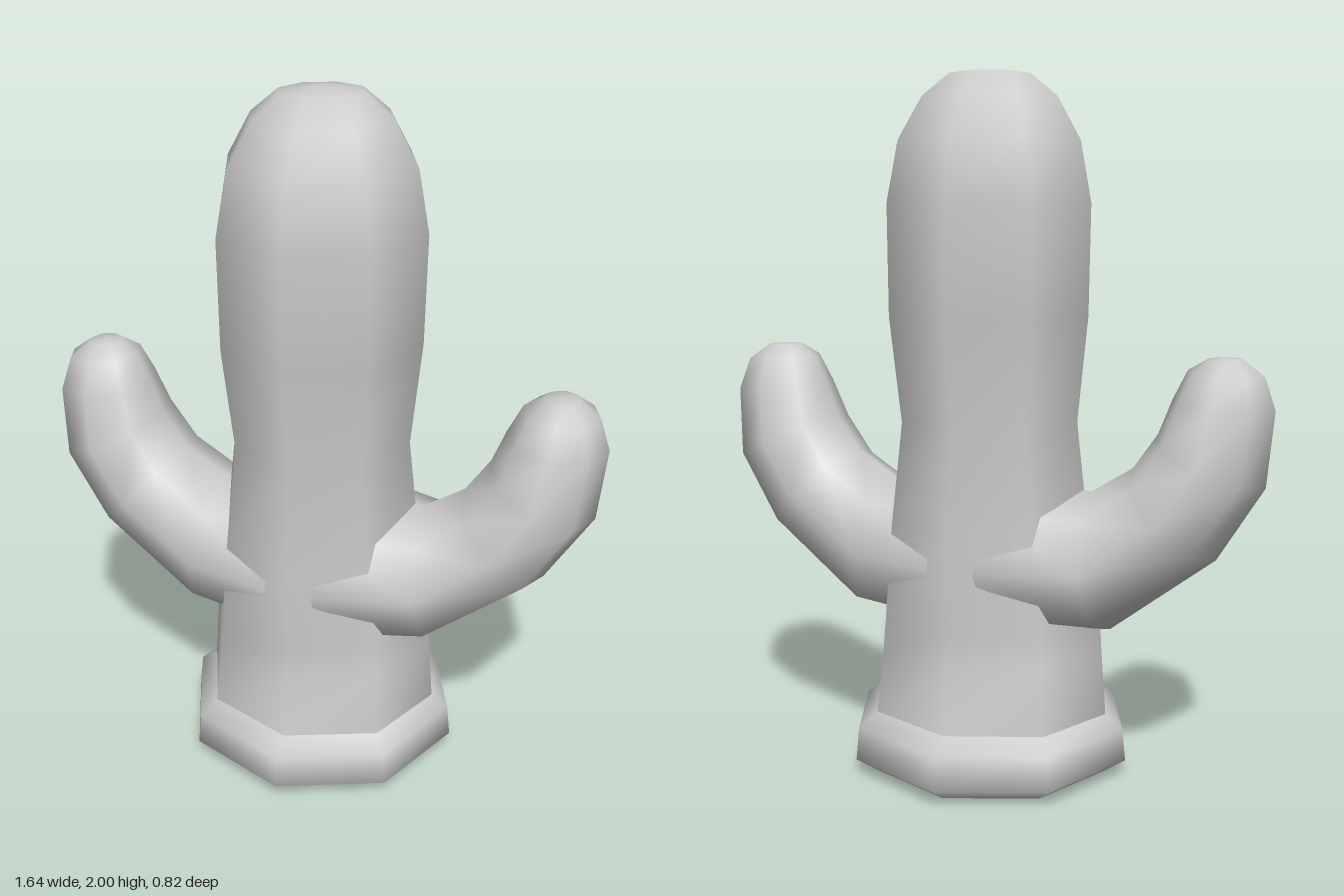
import * as THREE from 'three';

const SIDES = 8;
const material = new THREE.MeshStandardMaterial({ color: 0xcccccc });

// Smooth skin over octagonal rings: [cx, cy, ux, uy, w], u = in-plane half axis, w = half depth in z.
function loft(name, rings) {
  const positions = [], index = [];
  for (const [cx, cy, ux, uy, w] of rings) {
    for (let j = 0; j < SIDES; j++) {
      const a = (j / SIDES) * Math.PI * 2;
      positions.push(cx + ux * Math.cos(a), cy + uy * Math.cos(a), w * Math.sin(a));
    }
  }
  for (let i = 0; i < rings.length - 1; i++) {
    for (let j = 0; j < SIDES; j++) {
      const k = (j + 1) % SIDES;
      const a = i * SIDES + j, b = i * SIDES + k, c = a + SIDES, d = b + SIDES;
      index.push(a, c, b, b, c, d);
    }
  }
  // Close the far end with a single pole vertex
  const last = rings[rings.length - 1];
  if (last[5] !== undefined) {
    const start = (rings.length - 1) * SIDES, pole = rings.length * SIDES;
    positions.push(last[0], last[5], 0);
    for (let j = 0; j < SIDES; j++) index.push(start + j, pole, start + ((j + 1) % SIDES));
  }
  const geometry = new THREE.BufferGeometry();
  geometry.setAttribute('position', new THREE.Float32BufferAttribute(positions, 3));
  geometry.setIndex(index);
  geometry.computeVertexNormals();
  const mesh = new THREE.Mesh(geometry, material);
  mesh.name = name;
  return mesh;
}

// Upright ring: height, half width, half depth, optional pole height
const upright = ([y, rx, rz, pole]) => [0, y, rx, 0, rz, pole];

// Arm ring from its outer and inner outline points
const armRing = ([ox, oy, ix, iy, w, pole]) =>
  [(ox + ix) / 2, (oy + iy) / 2, (ox - ix) / 2, (oy - iy) / 2, w, pole];

export function createModel() {
  const group = new THREE.Group();
  group.name = 'cactus';

  // Trunk with a slight waist and a domed top
  group.add(loft('trunk', [
    [0.16, 0.36, 0.345], [0.36, 0.345, 0.305], [0.44, 0.34, 0.295], [0.72, 0.30, 0.312],
    [1.02, 0.265, 0.28], [1.32, 0.295, 0.325], [1.63, 0.30, 0.325], [1.80, 0.268, 0.288],
    [1.92, 0.20, 0.212], [1.985, 0.12, 0.13, 2.0],
  ].map(upright)));

  // Rolled rim at the foot, with a flat underside
  group.add(loft('baseRim', [
    [0, 0.352, 0.345], [0.045, 0.42, 0.412], [0.14, 0.41, 0.405], [0.178, 0.355, 0.342],
  ].map(upright)));
  const underside = new THREE.Mesh(new THREE.CircleGeometry(1, SIDES), material);
  underside.name = 'underside';
  underside.rotation.x = Math.PI / 2;
  underside.scale.set(0.352, 0.345, 1);
  group.add(underside);

  // Two upturned arms, the second turned half way round
  const profile = [
    [0.06, 0.40, 0.08, 0.86, 0.295], [0.37, 0.43, 0.31, 0.825, 0.225],
    [0.67, 0.66, 0.43, 0.90, 0.208], [0.80, 0.87, 0.50, 1.00, 0.196],
    [0.82, 1.08, 0.54, 1.10, 0.155], [0.79, 1.17, 0.58, 1.18, 0.115],
    [0.73, 1.213, 0.635, 1.213, 0.06, 1.217],
  ].map(armRing);
  for (const side of ['left', 'right']) {
    const arm = loft(side + 'Arm', profile);
    if (side === 'right') arm.rotation.y = Math.PI;
    group.add(arm);
  }
  return group;
}
